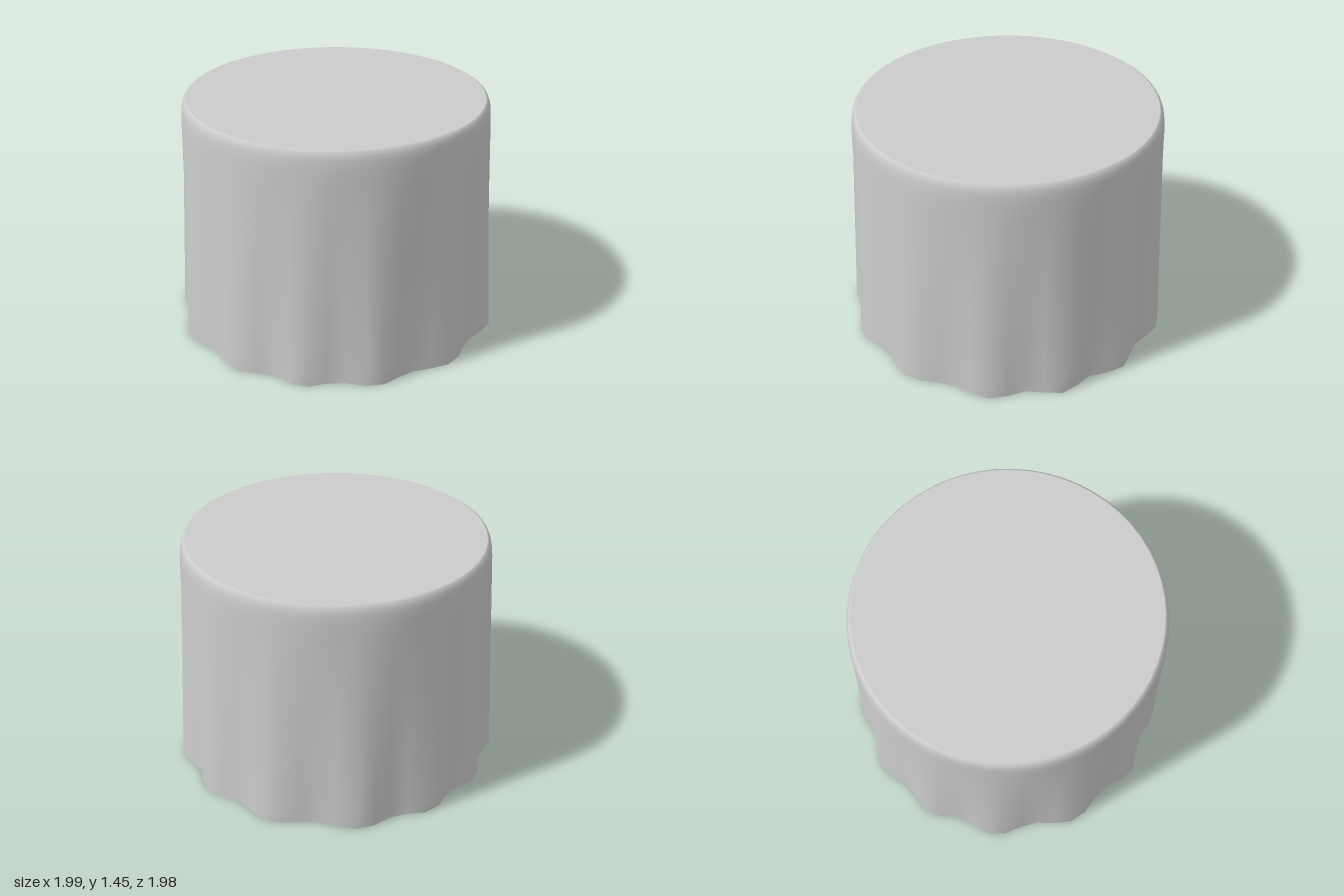
import * as THREE from 'three';

const SEGMENTS = 56;
const HEIGHT = 1.45;
const TOP_RADIUS = 0.903;

// Rounded shoulder of the cloth: [radius, height]
const SHOULDER = [[TOP_RADIUS, HEIGHT], [0.915, 1.442], [0.925, 1.42], [0.931, 1.39], [0.935, 1.34]];
const DRAPE_ROWS = 16;

// Uneven folds around the cloth, from -1 (trough) to 1 (crest)
const fold = (a) => Math.cos(13 * a + 0.6 * Math.cos(3 * a));

// Cross-sections from the top rim to the hem; folds deepen downward
function drapeGeometry() {
  const rows = SHOULDER.map(([r, y]) => ({ r, y, depth: 0 }));
  const [startR, startY] = SHOULDER[SHOULDER.length - 1];
  for (let k = 1; k <= DRAPE_ROWS; k++) {
    const t = k / DRAPE_ROWS;
    rows.push({ r: startR + 0.036 * t, y: startY * (1 - t), depth: 0.032 * t });
  }

  const positions = [];
  const indices = [];
  rows.forEach(({ r, y, depth }, k) => {
    for (let i = 0; i < SEGMENTS; i++) {
      const a = (i / SEGMENTS) * Math.PI * 2;
      const radius = r + depth * fold(a);
      positions.push(radius * Math.sin(a), y, radius * Math.cos(a));
      if (k > 0) {
        const next = (i + 1) % SEGMENTS;
        const upper = (k - 1) * SEGMENTS;
        const lower = k * SEGMENTS;
        indices.push(lower + i, lower + next, upper + next);
        indices.push(lower + i, upper + next, upper + i);
      }
    }
  });

  const geometry = new THREE.BufferGeometry();
  geometry.setAttribute('position', new THREE.Float32BufferAttribute(positions, 3));
  geometry.setIndex(indices);
  geometry.computeVertexNormals();
  return geometry;
}

export function createModel() {
  const model = new THREE.Group();
  model.name = 'roundTablecloth';
  const cloth = new THREE.MeshStandardMaterial({ color: 0xcccccc, side: THREE.DoubleSide });

  // Flat round table top
  const top = new THREE.Mesh(new THREE.CircleGeometry(TOP_RADIUS, SEGMENTS).rotateX(-Math.PI / 2), cloth);
  top.name = 'clothTop';
  top.position.y = HEIGHT;

  // Hanging folds, open at the bottom
  const drape = new THREE.Mesh(drapeGeometry(), cloth);
  drape.name = 'clothDrape';

  model.add(top, drape);
  model.position.z = -0.008;
  return model;
}
